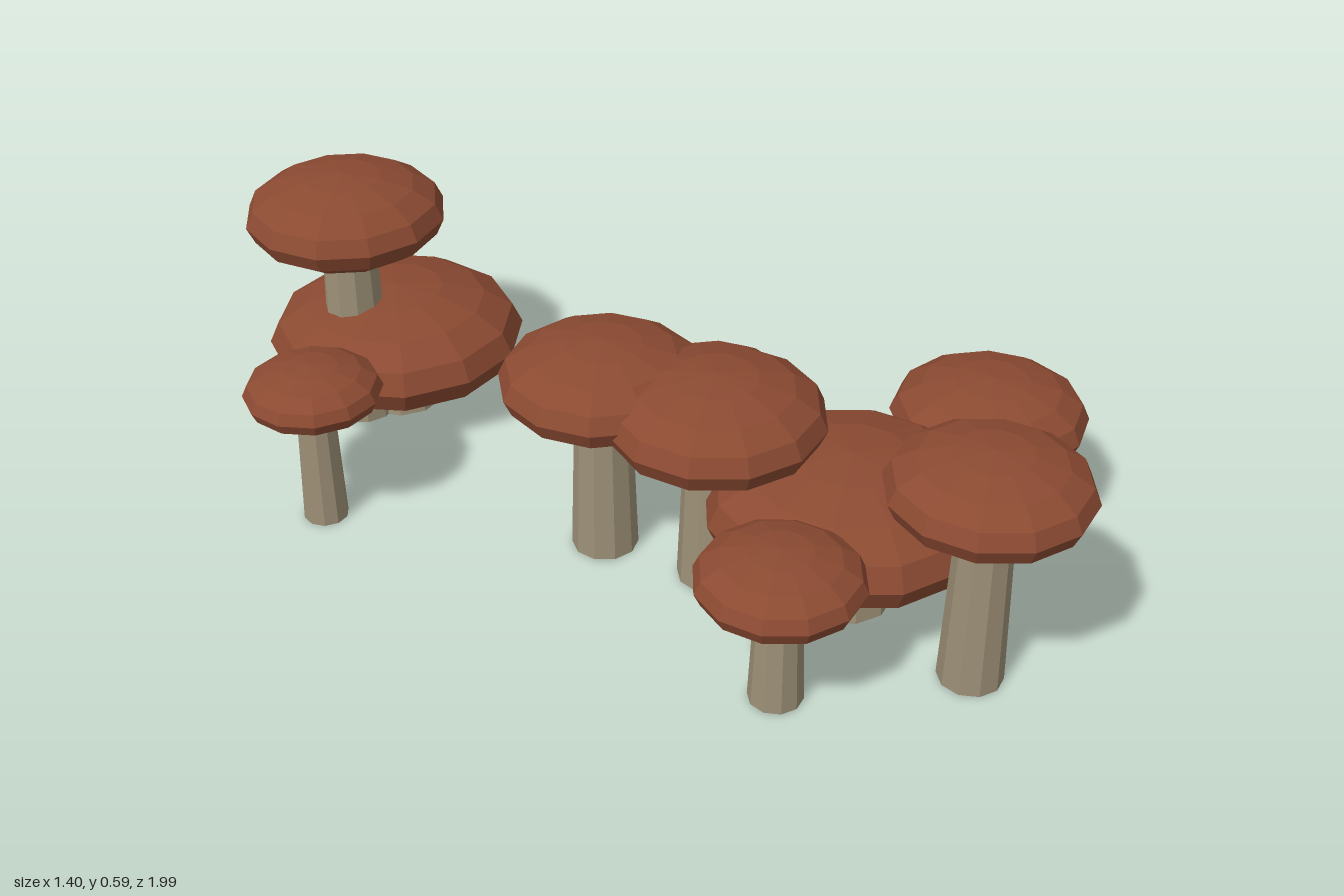
import * as THREE from 'three';

const capMaterial = new THREE.MeshStandardMaterial({ color: 0x8b4a32, flatShading: true });
const stemMaterial = new THREE.MeshStandardMaterial({ color: 0x9c8f76, flatShading: true });

// Each mushroom: x, z, cap centre height, cap radius, turn about y
const mushrooms = [
  [-0.18, -0.715, 0.17, 0.285, 0],
  [-0.277, -0.728, 0.5, 0.217, 0.2],
  [-0.562, -0.425, 0.31, 0.143, 0],
  [-0.163, 0.025, 0.398, 0.209, 0.26],
  [0.165, -0.015, 0.212, 0.174, 0.26],
  [-0.06, 0.247, 0.382, 0.222, 0.1],
  [0.097, 0.47, 0.222, 0.29, 0.1],
  [-0.214, 0.607, 0.275, 0.163, 0.1],
  [0.112, 0.798, 0.435, 0.196, 0.1],
  [0.5, 0.458, 0.26, 0.203, 0.26],
];

function createMushroom([x, z, height, radius, turn]) {
  const mushroom = new THREE.Group();
  mushroom.name = 'mushroom';
  mushroom.position.set(x, 0, z);
  mushroom.rotation.y = turn;

  // Flattened, faceted cap
  const cap = new THREE.Mesh(new THREE.SphereGeometry(radius, 12, 8).scale(1, 0.435, 1), capMaterial);
  cap.name = 'cap';
  cap.position.y = height;

  // Tapered stem reaching into the cap
  const stem = new THREE.Mesh(
    new THREE.CylinderGeometry(radius * 0.265, radius * 0.33, height, 10), stemMaterial);
  stem.name = 'stem';
  stem.position.y = height / 2;

  mushroom.add(cap, stem);
  return mushroom;
}

export function createModel() {
  const model = new THREE.Group();
  model.name = 'mushroomCluster';
  for (const spec of mushrooms) model.add(createMushroom(spec));
  return model;
}
